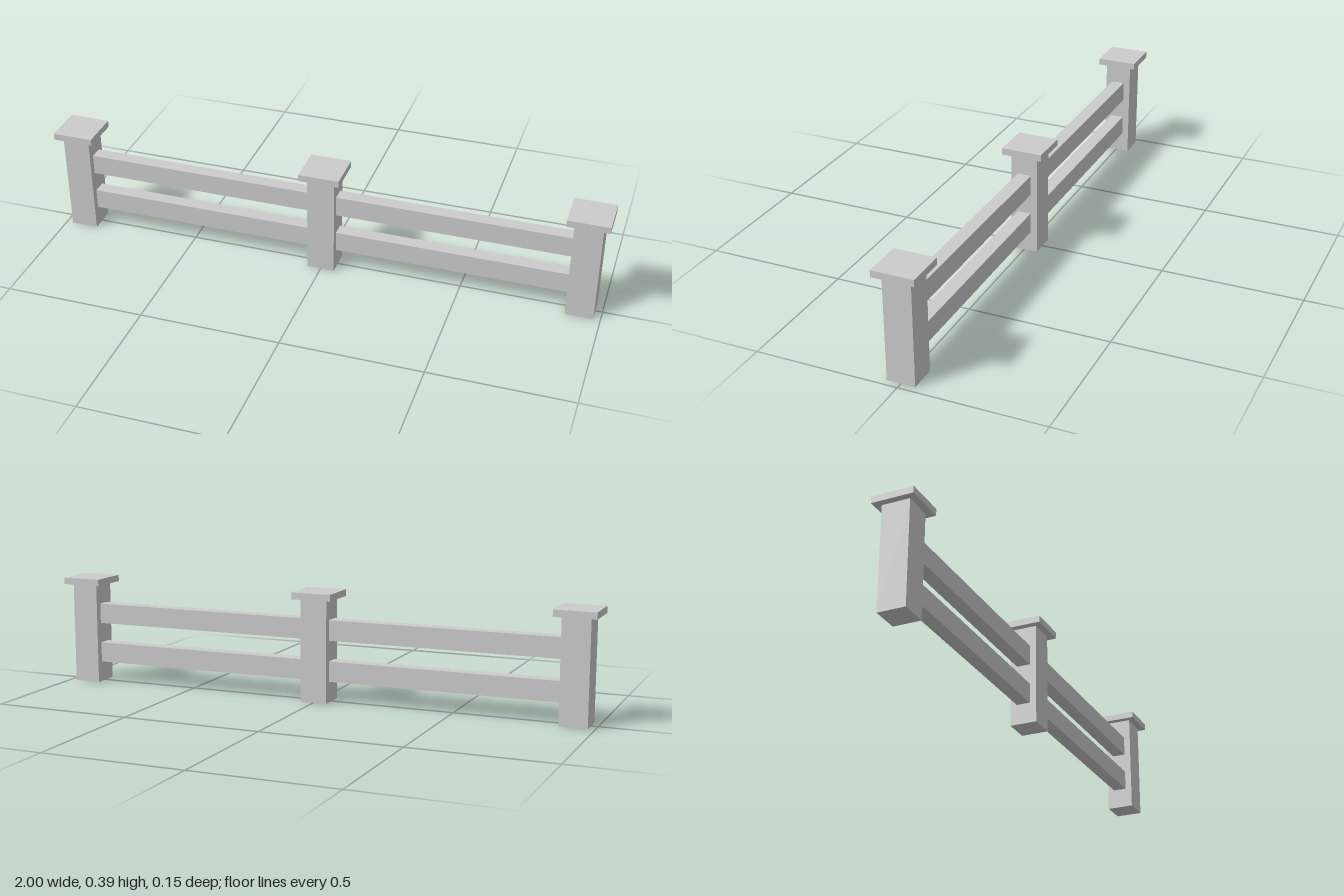
import * as THREE from 'three';

const POST_X = 0.927;   // centre of the outer posts
const POST_W = 0.098;
const POST_H = 0.368;
const CAP_W = 0.146;
const CAP_H = 0.024;
const RAIL_H = 0.073;
const RAIL_D = 0.049;

export function createModel() {
  const fence = new THREE.Group();
  fence.name = 'fence';
  const material = new THREE.MeshStandardMaterial({ color: 0xcccccc, flatShading: true });

  const addBox = (parent, name, size, position) => {
    const mesh = new THREE.Mesh(new THREE.BoxGeometry(...size), material);
    mesh.name = name;
    mesh.position.set(...position);
    parent.add(mesh);
  };

  // Three square posts, each with a flat overhanging cap
  for (const [side, x] of [['right', -POST_X], ['middle', 0], ['left', POST_X]]) {
    const post = new THREE.Group();
    post.name = `${side}Post`;
    post.position.x = x;
    addBox(post, 'postShaft', [POST_W, POST_H, POST_W], [0, POST_H / 2, 0]);
    addBox(post, 'postCap', [CAP_W, CAP_H, CAP_W], [0, POST_H + CAP_H / 2, 0]);
    fence.add(post);
  }

  // Two rails spanning each bay between posts
  const railLength = POST_X - POST_W;
  for (const [side, sign] of [['right', -1], ['left', 1]]) {
    for (const [level, y] of [['Lower', 0.111], ['Upper', 0.258]]) {
      addBox(fence, `${side}${level}Rail`, [railLength, RAIL_H, RAIL_D], [sign * POST_X / 2, y, 0]);
    }
  }

  return fence;
}
